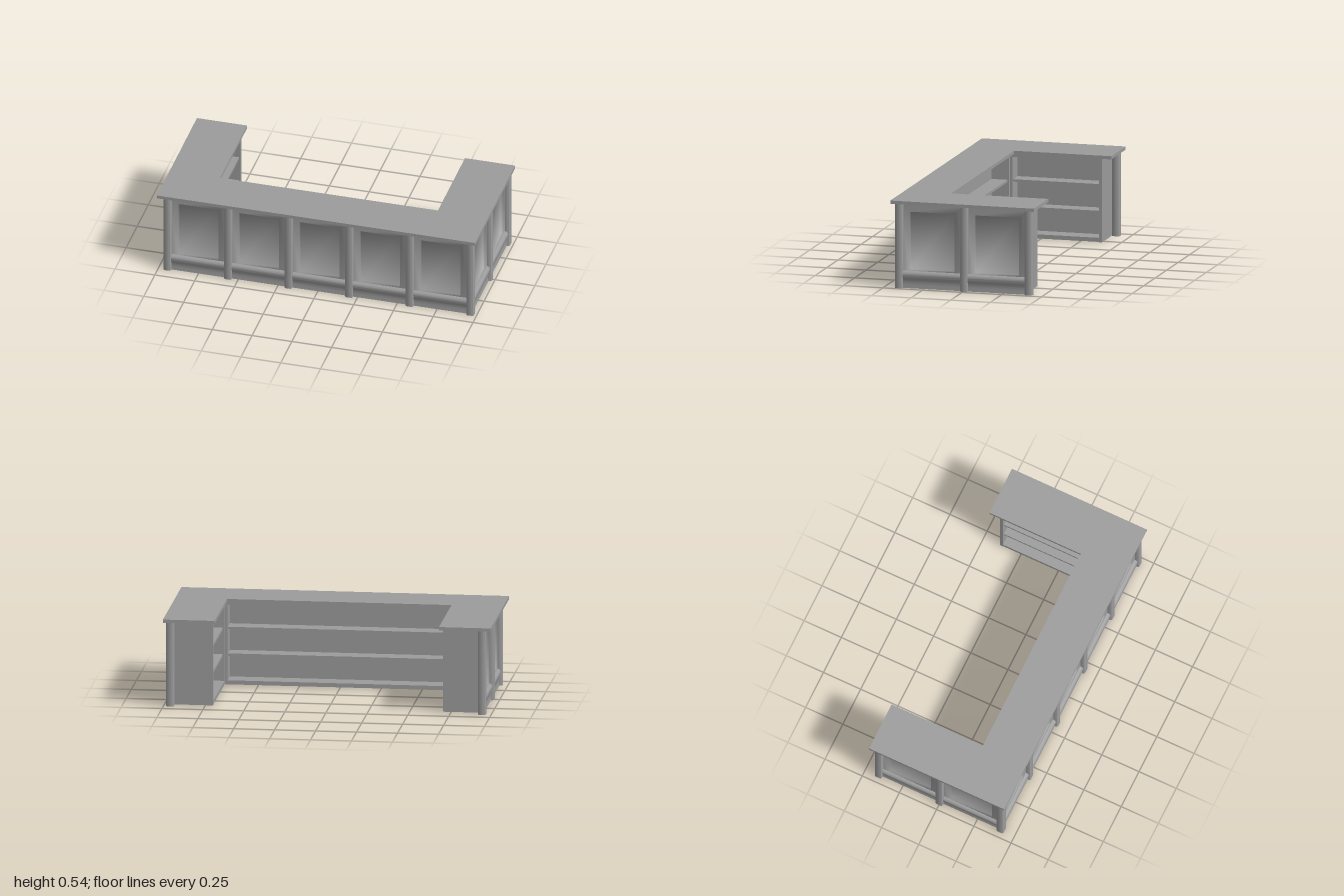
import * as THREE from 'three';
import { toCreasedNormals } from 'three/addons/utils/BufferGeometryUtils.js';

const mat = new THREE.MeshStandardMaterial({ color: 0x9c9c9c, side: THREE.DoubleSide });
const H = 0.542, BODY = 0.522;

function add(parent, name, geometry, x = 0, y = 0, z = 0) {
  const mesh = new THREE.Mesh(geometry, mat);
  mesh.name = name;
  mesh.position.set(x, y, z);
  parent.add(mesh);
  return mesh;
}

// Box given by its minimum and maximum corners
function slab(parent, name, x0, x1, y0, y1, z0, z1) {
  return add(parent, name, new THREE.BoxGeometry(x1 - x0, y1 - y0, z1 - z0),
    (x0 + x1) / 2, (y0 + y1) / 2, (z0 + z1) / 2);
}

// Square post with rounded corners
function postGeometry() {
  const a = 0.024, r = 0.012, s = new THREE.Shape();
  [[1, 1, 0], [-1, 1, 1], [-1, -1, 2], [1, -1, 3]].forEach(([sx, sy, q]) => {
    s.absarc(sx * (a - r), sy * (a - r), r, q * Math.PI / 2, (q + 1) * Math.PI / 2, false);
  });
  const g = new THREE.ExtrudeGeometry(s, { depth: BODY, bevelEnabled: false, curveSegments: 5 });
  return toCreasedNormals(g.rotateX(-Math.PI / 2), 0.7);
}

// Recessed panel: rectangular loops stepping inwards, closed by the middle field, softly shaded
function panelGeometry(w) {
  const loops = [
    [w / 2, 0.09, BODY, 0],
    [w / 2 - 0.064, 0.111, 0.471, 0],
    [w / 2 - 0.068, 0.115, 0.467, -0.013],
  ].map(([x, y0, y1, z]) => [[-x, y0, z], [x, y0, z], [x, y1, z], [-x, y1, z]]);
  const pos = [];
  const quad = (a, b, c, d) => pos.push(...a, ...b, ...c, ...a, ...c, ...d);
  for (let l = 0; l < 2; l++) {
    for (let i = 0; i < 4; i++) {
      const j = (i + 1) % 4;
      quad(loops[l][i], loops[l][j], loops[l + 1][j], loops[l + 1][i]);
    }
  }
  quad(...loops[2]);
  const g = new THREE.BufferGeometry();
  g.setAttribute('position', new THREE.Float32BufferAttribute(pos, 3));
  return toCreasedNormals(g, 1.5);
}

// Moulded skirting, profile drawn as (outward, up) and turned to face +z
function skirtingGeometry(w) {
  const s = new THREE.Shape();
  s.moveTo(-0.004, 0);
  s.lineTo(0.01, 0);
  s.bezierCurveTo(0.006, 0.03, 0.008, 0.045, 0.016, 0.065);
  s.bezierCurveTo(0.021, 0.08, 0.02, 0.09, 0.014, 0.098);
  s.lineTo(0, 0.106);
  s.lineTo(-0.004, 0.106);
  const g = new THREE.ExtrudeGeometry(s, { depth: w, bevelEnabled: false, curveSegments: 8 });
  g.translate(0, 0, -w / 2).rotateY(-Math.PI / 2);
  return toCreasedNormals(g, 0.6);
}

// Outer wall facing +z: a row of panels and skirtings
function panelWall(name, bays, bayWidth) {
  const wall = new THREE.Group();
  wall.name = name;
  const panel = panelGeometry(bayWidth), skirting = skirtingGeometry(bayWidth);
  for (let i = 0; i < bays; i++) {
    const x = (i - (bays - 1) / 2) * bayWidth;
    add(wall, 'recessedPanel', panel, x);
    add(wall, 'skirting', skirting, x);
  }
  return wall;
}

// Open shelving facing +z, with its face at z = 0
function shelving(name, w, d) {
  const g = new THREE.Group(), x = w / 2, t = 0.018;
  g.name = name;
  slab(g, 'shelfBack', -x, x, 0.01, BODY, -d, -d + 0.01);
  for (const s of [-1, 1]) {
    const c = s * (x - t / 2);
    slab(g, 'shelfSide', c - t / 2, c + t / 2, 0.005, BODY, -d, 0);
  }
  slab(g, 'topRail', -x, x, BODY - 0.022, BODY, -0.02, 0);
  slab(g, 'bottomRail', -x, x, 0.005, 0.03, -0.02, 0);
  slab(g, 'shelfFloor', -x, x, 0.015, 0.03, -d, -0.002);
  for (const y of [0.18, 0.345]) slab(g, 'shelf', -x, x, y, y + 0.015, -d, -0.01);
  return g;
}

export function createModel() {
  const model = new THREE.Group();
  model.name = 'counter';

  // U-shaped countertop
  const top = new THREE.Shape([
    [-1, 0.453], [-1, -0.453], [-0.685, -0.453], [-0.685, 0.16],
    [0.685, 0.16], [0.685, -0.453], [1, -0.453], [1, 0.453],
  ].map(([x, z]) => new THREE.Vector2(x, z)));
  const topGeometry = new THREE.ExtrudeGeometry(top, { depth: H - BODY, bevelEnabled: false });
  add(model, 'countertop', topGeometry.rotateX(Math.PI / 2), 0, H, 0);

  // Posts along the front and both sides, set slightly towards +x under the top
  const post = postGeometry(), step = 0.3808, shift = 0.008;
  for (let i = 0; i < 6; i++) add(model, 'post', post, shift + (i - 2.5) * step, 0, 0.407);
  for (const s of [-1, 1]) {
    for (const z of [-0.002, -0.411]) add(model, 'post', post, shift + s * 2.5 * step, 0, z);
  }

  // Panelled outer walls
  const front = panelWall('frontWall', 5, step);
  front.position.set(shift, 0, 0.403);
  model.add(front);
  for (const s of [-1, 1]) {
    const side = panelWall('sideWall', 2, 0.409);
    side.rotation.y = s * Math.PI / 2;
    side.position.set(shift + s * 0.947, 0, -0.002);
    model.add(side);
  }

  // Shallow shelving on the inside of the U
  const main = shelving('mainShelving', 1.406, 0.12);
  main.rotation.y = Math.PI;
  main.position.z = 0.192;
  model.add(main);
  for (const s of [-1, 1]) {
    const wing = shelving('wingShelving', 0.58, 0.12);
    wing.rotation.y = -s * Math.PI / 2;
    wing.position.set(s * 0.703, 0, -0.098);
    model.add(wing);
    // Plain board closing the back end of each wing, behind the post
    const inner = s * 0.702, outer = shift + s * 0.945;
    slab(model, 'endBoard', Math.min(inner, outer), Math.max(inner, outer), 0.003, BODY, -0.389, -0.371);
  }
  return model;
}
